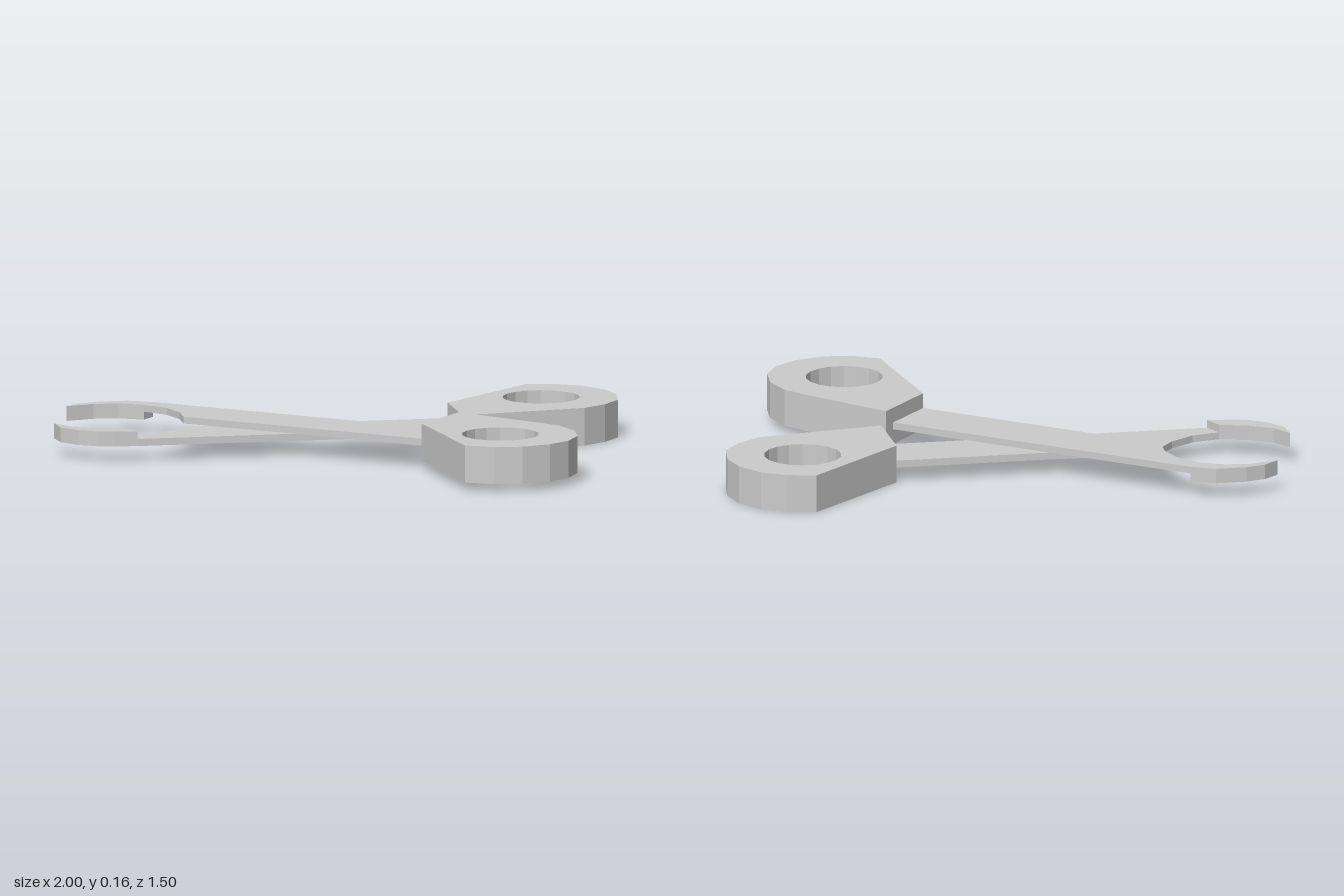
import * as THREE from 'three';

const material = new THREE.MeshStandardMaterial({ color: 0xcccccc, flatShading: true });

// Flat plate from an outline of [x, z] points, between two heights, with an optional round hole
function plate(name, outline, bottom, top, hole) {
  const shape = new THREE.Shape(outline.map(([x, z]) => new THREE.Vector2(x, z)));
  if (hole) {
    const [cx, cz, r] = hole;
    const ring = [];
    for (let i = 0; i < 18; i++) {
      const a = (i / 18) * Math.PI * 2;
      ring.push(new THREE.Vector2(cx + r * Math.cos(a), cz + r * Math.sin(a)));
    }
    shape.holes.push(new THREE.Path(ring));
  }
  const geometry = new THREE.ExtrudeGeometry(shape, { depth: top - bottom, bevelEnabled: false });
  geometry.rotateX(Math.PI / 2);
  geometry.translate(0, top, 0);
  const mesh = new THREE.Mesh(geometry, material);
  mesh.name = name;
  return mesh;
}

function group(name, ...parts) {
  const g = new THREE.Group();
  g.name = name;
  g.add(...parts);
  return g;
}

export function createModel() {
  // Upper arm: thin bar, thicker curved jaw tip, thick finger loop
  const upper = group('upperArm',
    plate('upperBlade', [
      [0.39, 0.105], [-0.78, 0.125], [-0.78, 0.19], [-0.68, 0.207],
      [-0.6, 0.26], [-0.545, 0.33], [0.39, 0.315],
    ], 0.083, 0.107),
    plate('upperJaw', [
      [-0.78, 0.125], [-0.87, 0.145], [-0.95, 0.215], [-0.99, 0.275],
      [-1, 0.345], [-0.94, 0.26], [-0.87, 0.21], [-0.78, 0.19],
    ], 0.055, 0.107),
    plate('upperHandle', [
      [0.39, 0.055], [0.73, 0.1], [0.83, 0.12], [0.92, 0.18], [0.98, 0.265], [1, 0.365],
      [0.98, 0.46], [0.92, 0.55], [0.84, 0.605], [0.735, 0.625], [0.39, 0.315],
    ], 0.03, 0.16, [0.73, 0.365, 0.134]));

  // Lower arm: the same parts turned over and crossed beneath
  const lower = group('lowerArm',
    plate('lowerBlade', [
      [0.19, -0.225], [-0.21, 0.115], [-0.48, 0.335], [-0.525, 0.375], [-0.52, 0.455],
      [-0.545, 0.555], [-0.605, 0.635], [-0.54, 0.665], [0.33, -0.07],
    ], 0.055, 0.08),
    plate('lowerJaw', [
      [-0.54, 0.665], [-0.605, 0.71], [-0.655, 0.735], [-0.73, 0.745], [-0.81, 0.725],
      [-0.87, 0.665], [-0.79, 0.69], [-0.7, 0.675], [-0.605, 0.635],
    ], 0.055, 0.107),
    plate('lowerHandle', [
      [0.19, -0.225], [0.245, -0.69], [0.335, -0.735], [0.43, -0.75], [0.535, -0.72],
      [0.615, -0.66], [0.675, -0.565], [0.68, -0.465], [0.655, -0.365], [0.36, -0.03],
    ], 0.002, 0.134, [0.415, -0.485, 0.134]));

  // Pivot pin, flush with the outer faces
  const pivot = new THREE.Mesh(new THREE.CylinderGeometry(0.045, 0.045, 0.051, 18), material);
  pivot.name = 'pivotPin';
  pivot.position.set(-0.185, 0.081, 0.21);

  return group('crossedTongs', upper, lower, pivot);
}
